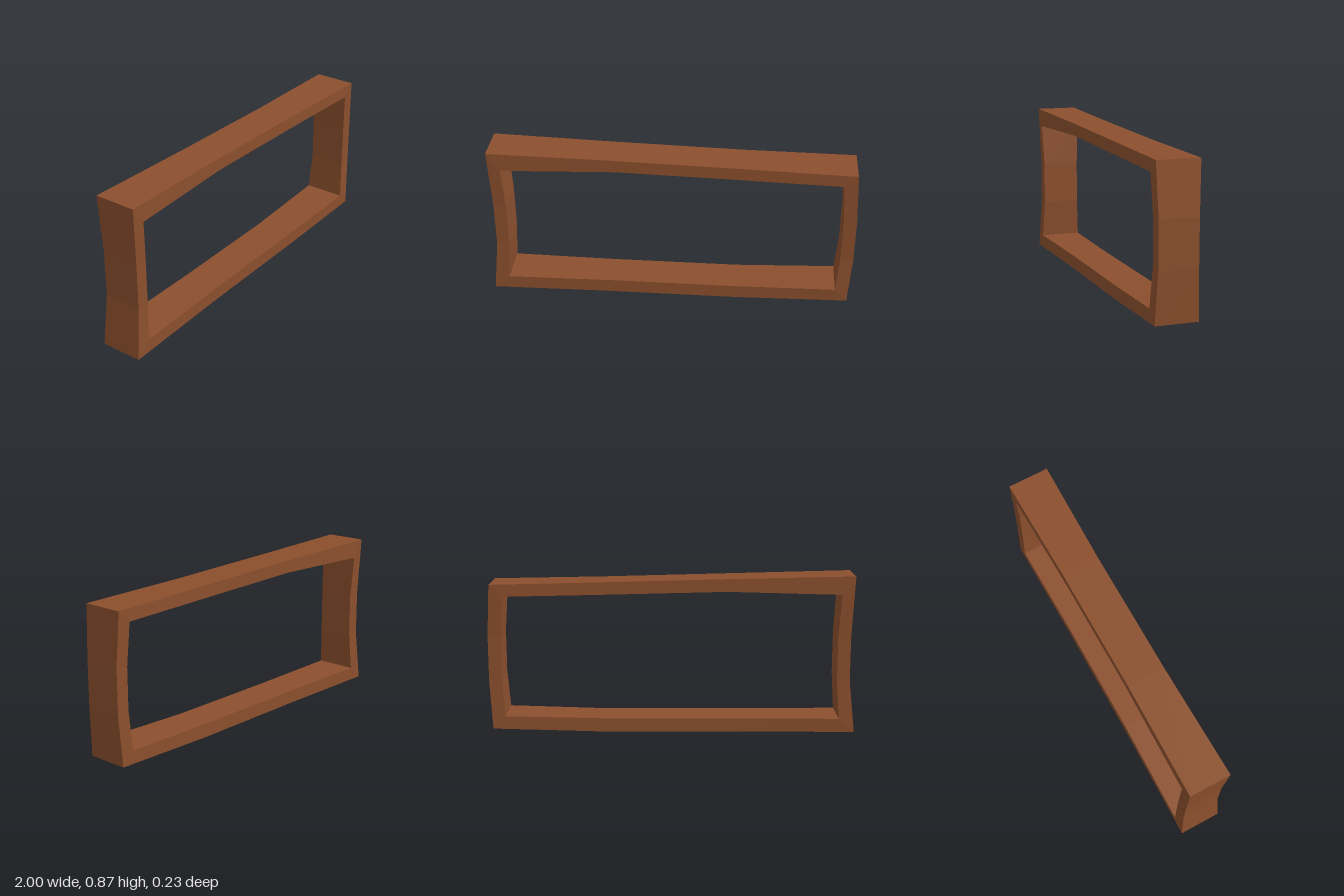
import * as THREE from 'three';

// Stations around the frame, counter-clockwise from the lower right-hand corner:
// outer x, outer y, inner x, inner y, half depth
const STATIONS = [
  [-1.0, 0.0, -0.915, 0.075, 0.115],
  [-0.36, 0.0, -0.33, 0.075, 0.105],
  [0.38, 0.0, 0.36, 0.075, 0.105],
  [0.984, 0.02, 0.915, 0.09, 0.115],
  [1.0, 0.29, 0.93, 0.3, 0.105],
  [1.0, 0.54, 0.93, 0.53, 0.105],
  [0.984, 0.82, 0.915, 0.755, 0.115],
  [0.37, 0.832, 0.34, 0.765, 0.105],
  [-0.34, 0.85, -0.3, 0.78, 0.105],
  [-0.985, 0.865, -0.915, 0.765, 0.115],
  [-0.97, 0.54, -0.9, 0.53, 0.105],
  [-0.97, 0.29, -0.9, 0.29, 0.105],
];

// Rectangular cross-section: outer front, outer back, inner back, inner front
function section([ox, oy, ix, iy, d]) {
  return [[ox, oy, d], [ox, oy, -d], [ix, iy, -d], [ix, iy, d]];
}

function frameGeometry() {
  const positions = [];
  STATIONS.forEach((station, i) => {
    const a = section(station);
    const b = section(STATIONS[(i + 1) % STATIONS.length]);
    for (let j = 0; j < 4; j++) {
      const k = (j + 1) % 4;
      for (const p of [a[j], a[k], b[k], a[j], b[k], b[j]]) positions.push(...p);
    }
  });
  const geometry = new THREE.BufferGeometry();
  geometry.setAttribute('position', new THREE.Float32BufferAttribute(positions, 3));
  geometry.computeVertexNormals(); // unshared corners give flat faces
  return geometry;
}

export function createModel() {
  const wood = new THREE.MeshStandardMaterial({ color: 0x8b4f2d });
  wood.name = 'brown wood';

  // Slightly warped wooden frame, open through the middle
  const frame = new THREE.Mesh(frameGeometry(), wood);
  frame.name = 'woodenFrame';

  const model = new THREE.Group();
  model.name = 'frame';
  model.add(frame);
  return model;
}
